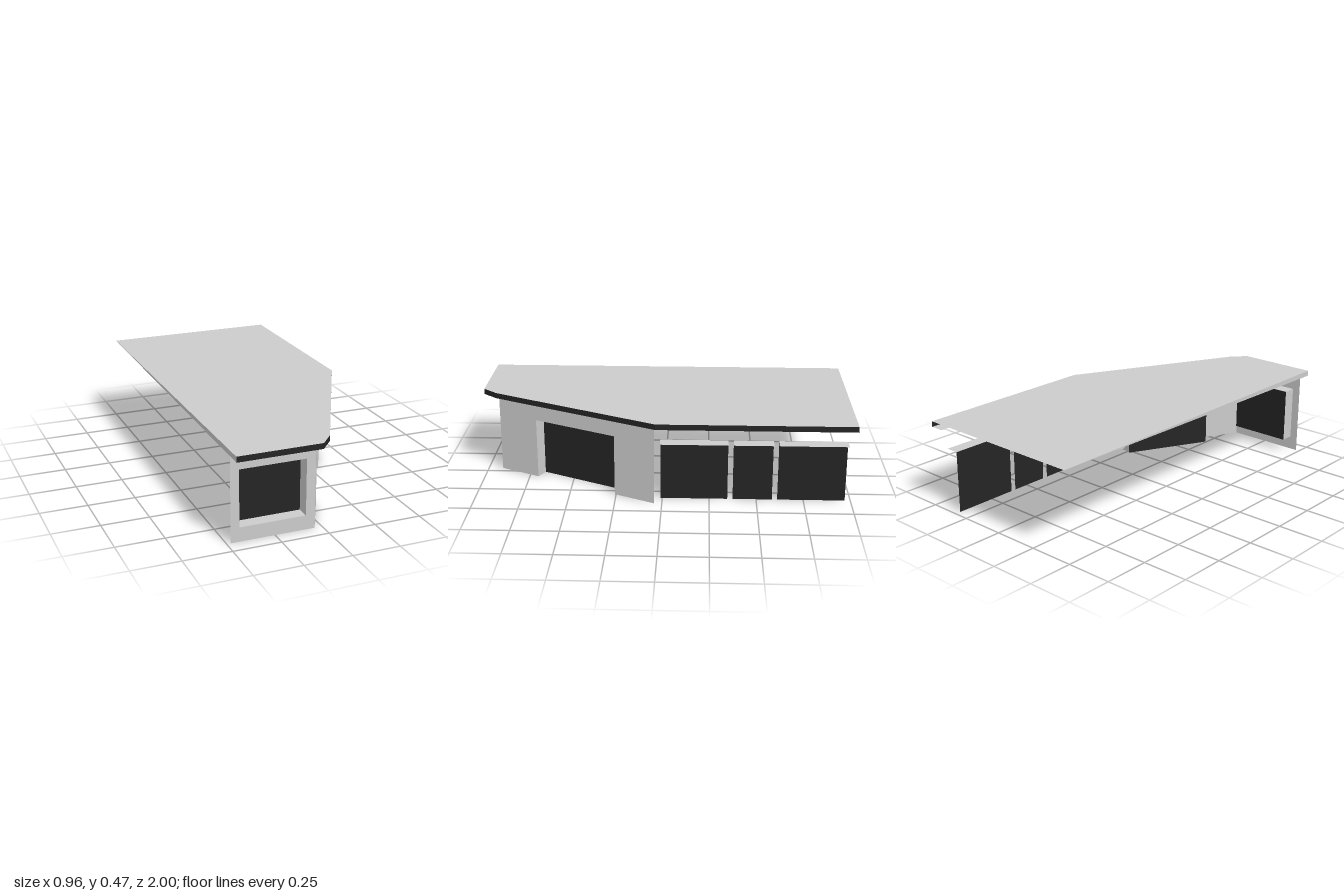
import * as THREE from 'three';

const grey = new THREE.MeshStandardMaterial({ color: 0xcccccc, side: THREE.DoubleSide });
grey.name = 'light grey render';
const dark = new THREE.MeshStandardMaterial({ color: 0x242424, side: THREE.DoubleSide });
dark.name = 'charcoal';

const WALL_TOP = 0.445, ROOF_TOP = 0.475, DEPTH = 0.072;

// Plan points are [x, z]
const roofEdge = [[-0.48, 1], [-0.04, 1], [0.03, 0.92], [0.48, 0.03], [0.48, -1]];
const wallLine = [[-0.48, 0.92], [-0.04, 0.92], [0.405, 0.04], [0.405, -1]];

function add(parent, name, geometry, material) {
  const mesh = new THREE.Mesh(geometry, material);
  mesh.name = name;
  parent.add(mesh);
  return mesh;
}

// Horizontal sheet facing up, from plan points
function sheet(parent, name, points, y) {
  const shape = new THREE.Shape(points.map(([x, z]) => new THREE.Vector2(x, -z)));
  const mesh = add(parent, name, new THREE.ShapeGeometry(shape).rotateX(-Math.PI / 2), grey);
  mesh.position.y = y;
}

// Group whose x axis runs from a to b and whose z axis points outward
function side(parent, name, a, b) {
  const group = new THREE.Group();
  const dx = b[0] - a[0], dz = b[1] - a[1];
  group.name = name;
  group.position.set(a[0], 0, a[1]);
  group.rotation.y = Math.atan2(-dz, dx);
  parent.add(group);
  return { group, length: Math.hypot(dx, dz) };
}

function rectangle(PathType, x0, x1, y0, y1) {
  return new PathType([[x0, y0], [x1, y0], [x1, y1], [x0, y1]].map(p => new THREE.Vector2(...p)));
}

// Recessed dark pane with the chosen reveals around it
function recess(group, name, [x0, x1, y0, y1], reveals) {
  const w = x1 - x0, h = y1 - y0, cx = (x0 + x1) / 2, cy = (y0 + y1) / 2;
  add(group, name + 'Pane', new THREE.PlaneGeometry(w, h), dark).position.set(cx, cy, -DEPTH);
  const horizontal = () => new THREE.PlaneGeometry(w, DEPTH);
  const vertical = () => new THREE.PlaneGeometry(DEPTH, h);
  const z = -DEPTH / 2;
  if (reveals.includes('head'))
    add(group, name + 'Head', horizontal().rotateX(Math.PI / 2), grey).position.set(cx, y1, z);
  if (reveals.includes('sill'))
    add(group, name + 'Sill', horizontal().rotateX(-Math.PI / 2), grey).position.set(cx, y0, z);
  if (reveals.includes('jambs')) {
    add(group, name + 'JambStart', vertical().rotateY(Math.PI / 2), grey).position.set(x0, cy, z);
    add(group, name + 'JambEnd', vertical().rotateY(-Math.PI / 2), grey).position.set(x1, cy, z);
  }
}

// Wall sheet with one rectangular opening
function wall(parent, name, a, b, opening) {
  const { group, length } = side(parent, name, a, b);
  const shape = rectangle(THREE.Shape, 0, length, 0, WALL_TOP);
  shape.holes.push(rectangle(THREE.Path, ...opening));
  add(group, name + 'Face', new THREE.ShapeGeometry(shape), grey);
  return group;
}

export function createModel() {
  const model = new THREE.Group();
  model.name = 'shopfront';

  // Roof sheet and the narrow soffit under its overhang
  sheet(model, 'roof', [...roofEdge, [-0.48, -1]], ROOF_TOP);
  sheet(model, 'soffit', [...roofEdge, ...[...wallLine].reverse()], WALL_TOP);

  // Dark fascia along the front and right edges
  const fasciaHeight = ROOF_TOP - WALL_TOP;
  for (let i = 0; i < roofEdge.length - 1; i++) {
    const { group, length } = side(model, 'fascia' + (i + 1), roofEdge[i], roofEdge[i + 1]);
    add(group, 'fasciaBoard', new THREE.PlaneGeometry(length, fasciaHeight), dark)
      .position.set(length / 2, (WALL_TOP + ROOF_TOP) / 2, 0);
  }

  // Tapered closing strip on the left edge
  const taper = side(model, 'leftEdge', [-0.48, -1], [-0.48, 1]);
  const strip = new THREE.Shape([[0, ROOF_TOP], [2, WALL_TOP], [2, ROOF_TOP]].map(p => new THREE.Vector2(...p)));
  add(taper.group, 'leftEdgeStrip', new THREE.ShapeGeometry(strip), grey);

  // Front wall with its display window
  const display = [0.045, 0.392, 0.075, 0.373];
  const front = wall(model, 'frontWall', wallLine[0], wallLine[1], display);
  recess(front, 'displayWindow', display, ['head', 'sill', 'jambs']);

  // Angled wall with the entrance, open down to the floor
  const entrance = [0.244, 0.743, 0, 0.335];
  const { group: angled, length } = side(model, 'angledWall', wallLine[1], wallLine[2]);
  const [x0, x1, , top] = entrance;
  const face = new THREE.Shape([
    [0, 0], [x0, 0], [x0, top], [x1, top], [x1, 0], [length, 0], [length, WALL_TOP], [0, WALL_TOP],
  ].map(p => new THREE.Vector2(...p)));
  add(angled, 'angledWallFace', new THREE.ShapeGeometry(face), grey);
  recess(angled, 'entrance', entrance, ['head', 'jambs']);

  // Row of tall windows on the right side
  const right = side(model, 'rightWindows', wallLine[2], wallLine[3]).group;
  [[0.03, 0.387], [0.415, 0.624], [0.652, 1.01]].forEach(([a, b], i) =>
    recess(right, 'sideWindow' + (i + 1), [a, b, 0, 0.335], ['head']));

  return model;
}
